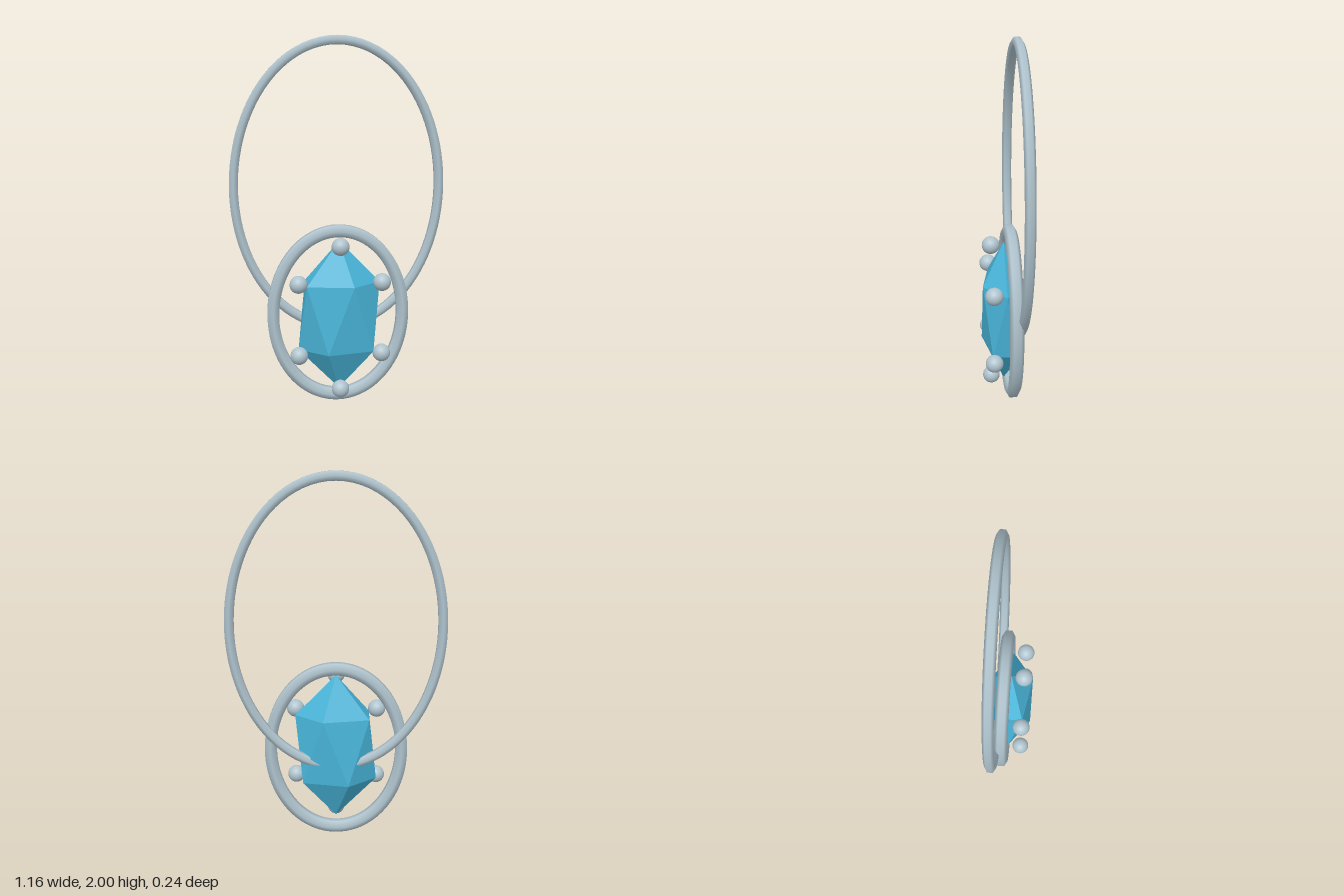
import * as THREE from 'three';

const silver = new THREE.MeshStandardMaterial({ color: 0xb0c4ce });
silver.name = 'silver';
const blueGem = new THREE.MeshStandardMaterial({ color: 0x48b4d8, flatShading: true });
blueGem.name = 'blueGem';

function addMesh(group, name, geometry, material) {
  const mesh = new THREE.Mesh(geometry, material);
  mesh.name = name;
  group.add(mesh);
  return mesh;
}

// Upright oval loop of six-sided wire, starting at its top
function ovalLoop(rx, ry, wire) {
  const points = [];
  for (let i = 0; i < 64; i++) {
    const a = (i / 64) * Math.PI * 2;
    points.push(new THREE.Vector3(Math.sin(a) * rx, Math.cos(a) * ry, 0));
  }
  const path = new THREE.CatmullRomCurve3(points, true);
  return new THREE.TubeGeometry(path, 96, wire, 6, true);
}

// Twenty-faced gem: two poles and two staggered rings of five corners
function gemGeometry(rx, ry, rz) {
  const h = 1 / Math.sqrt(5), r = 2 * h;
  const corner = (deg, y) => {
    const a = THREE.MathUtils.degToRad(deg);
    return [Math.cos(a) * r * rx, y * ry, Math.sin(a) * r * rz];
  };
  const upper = (k) => corner(72 * k, h);
  const lower = (k) => corner(72 * k + 36, -h);
  const top = [0, ry, 0], bottom = [0, -ry, 0];
  const verts = [];
  for (let k = 0; k < 5; k++) {
    verts.push(
      ...top, ...upper(k + 1), ...upper(k),
      ...upper(k), ...upper(k + 1), ...lower(k),
      ...lower(k), ...upper(k + 1), ...lower(k + 1),
      ...bottom, ...lower(k), ...lower(k + 1));
  }
  const geometry = new THREE.BufferGeometry();
  geometry.setAttribute('position', new THREE.Float32BufferAttribute(verts, 3));
  geometry.computeVertexNormals();
  return geometry;
}

export function createModel() {
  const model = new THREE.Group();
  model.name = 'pendant';

  // Large hanging loop behind the setting
  addMesh(model, 'hangingLoop', ovalLoop(0.556, 0.776, 0.0275), silver)
    .position.set(0, 1.2, -0.072);

  // Oval frame around the gem
  addMesh(model, 'gemFrame', ovalLoop(0.358, 0.468, 0.037), silver)
    .position.set(0, 0.5, -0.037);

  // Faceted gem
  addMesh(model, 'gem', gemGeometry(0.25, 0.42, 0.14), blueGem)
    .position.set(0, 0.5, 0);

  // Six beads around the front of the gem
  const beads = new THREE.Group();
  beads.name = 'beads';
  const beadGeometry = new THREE.SphereGeometry(0.048, 24, 16);
  const spots = [[0, 0.4], [0.225, 0.2], [0.225, -0.2], [0, -0.4], [-0.225, -0.2], [-0.225, 0.2]];
  spots.forEach(([x, y], i) => {
    addMesh(beads, `bead${i + 1}`, beadGeometry, silver).position.set(x, 0.503 + y, 0.07);
  });
  model.add(beads);

  return model;
}
